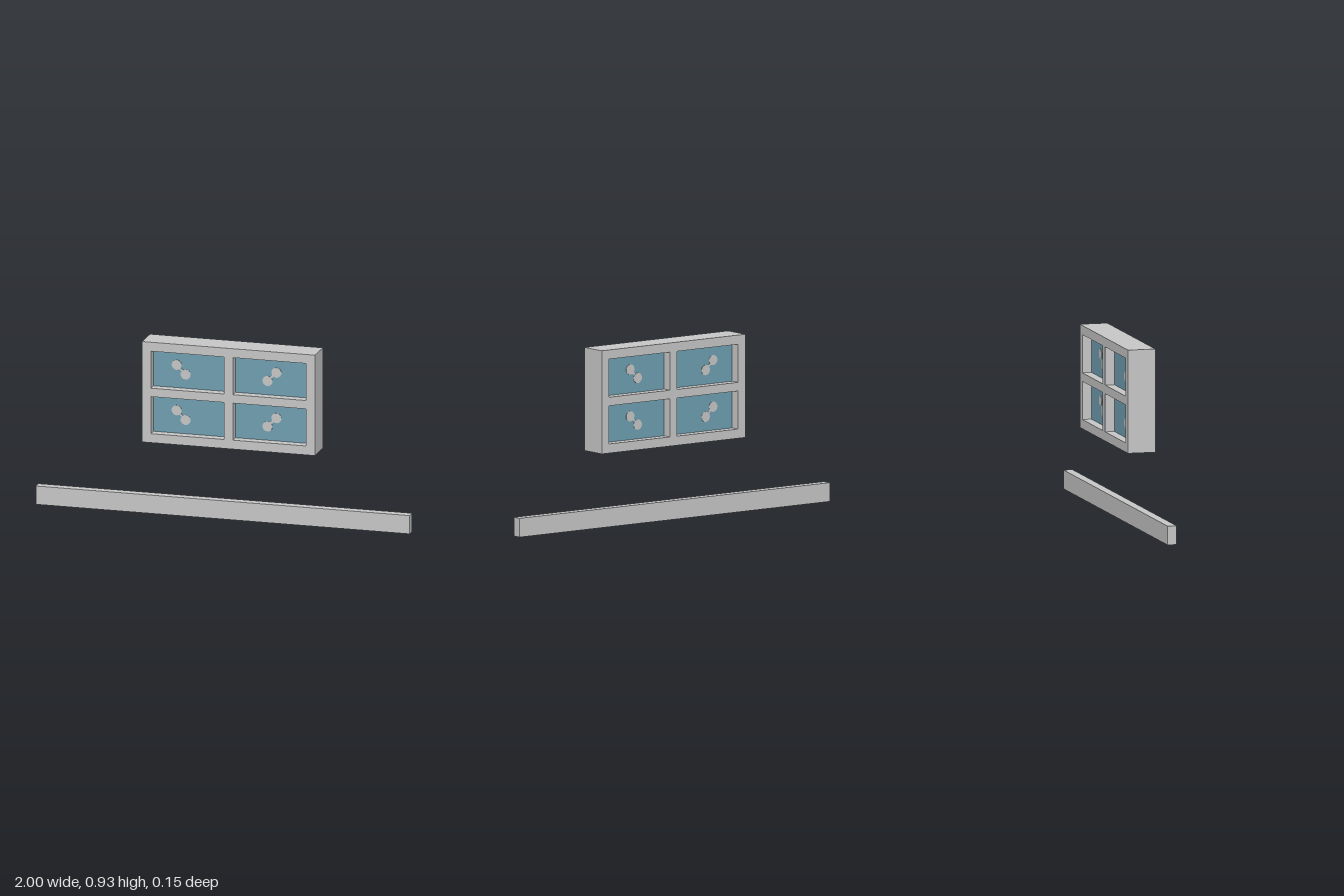
import * as THREE from 'three';

const grey = new THREE.MeshStandardMaterial({ color: 0xc6c6c6 });
grey.name = 'light grey';
const blue = new THREE.MeshStandardMaterial({ color: 0x6e9eaf });
blue.name = 'glass blue';

function addMesh(parent, name, geometry, material, x = 0, y = 0, z = 0) {
  const mesh = new THREE.Mesh(geometry, material);
  mesh.name = name;
  mesh.position.set(x, y, z);
  parent.add(mesh);
  return mesh;
}

function rectangle(path, [x0, x1], [y0, y1]) {
  path.moveTo(x0, y0);
  path.lineTo(x1, y0);
  path.lineTo(x1, y1);
  path.lineTo(x0, y1);
  path.closePath();
  return path;
}

export function createModel() {
  const model = new THREE.Group();
  model.name = 'window and rail';

  // Long floor rail
  addMesh(model, 'rail', new THREE.BoxGeometry(2, 0.098, 0.048), grey, 0, 0.049, 0);

  // Deep frame with four openings
  const columns = [[-0.37, 0.022], [0.069, 0.461]];
  const rows = [[0.441, 0.639], [0.684, 0.882]];
  const outline = rectangle(new THREE.Shape(), [-0.417, 0.508], [0.393, 0.93]);
  for (const c of columns) for (const r of rows) outline.holes.push(rectangle(new THREE.Path(), c, r));
  const depth = 0.146;
  const frame = new THREE.ExtrudeGeometry(outline, { depth, bevelEnabled: false });
  addMesh(model, 'window frame', frame, grey, 0, 0, -depth / 2);

  // Recessed panes, each with a pair of joined round marks showing on both sides
  const paneDepth = 0.048;
  const markDepth = paneDepth + 0.004;
  const disc = new THREE.CylinderGeometry(0.027, 0.027, markDepth, 14).rotateX(Math.PI / 2);
  const neck = new THREE.BoxGeometry(0.04, 0.011, markDepth - 0.001);
  const marks = [[-0.246, -0.198], [0.288, 0.24]];
  columns.forEach(([x0, x1], i) => {
    rows.forEach(([y0, y1]) => {
      const pane = new THREE.BoxGeometry(x1 - x0, y1 - y0, paneDepth);
      addMesh(model, 'glass pane', pane, blue, (x0 + x1) / 2, (y0 + y1) / 2);
      const [upperX, lowerX] = marks[i];
      const upperY = y0 + 0.122, lowerY = y0 + 0.074;
      addMesh(model, 'upper mark', disc, grey, upperX, upperY);
      addMesh(model, 'lower mark', disc, grey, lowerX, lowerY);
      const link = addMesh(model, 'mark link', neck, grey, (upperX + lowerX) / 2, (upperY + lowerY) / 2);
      link.rotation.z = Math.atan2(upperY - lowerY, upperX - lowerX);
    });
  });

  return model;
}
